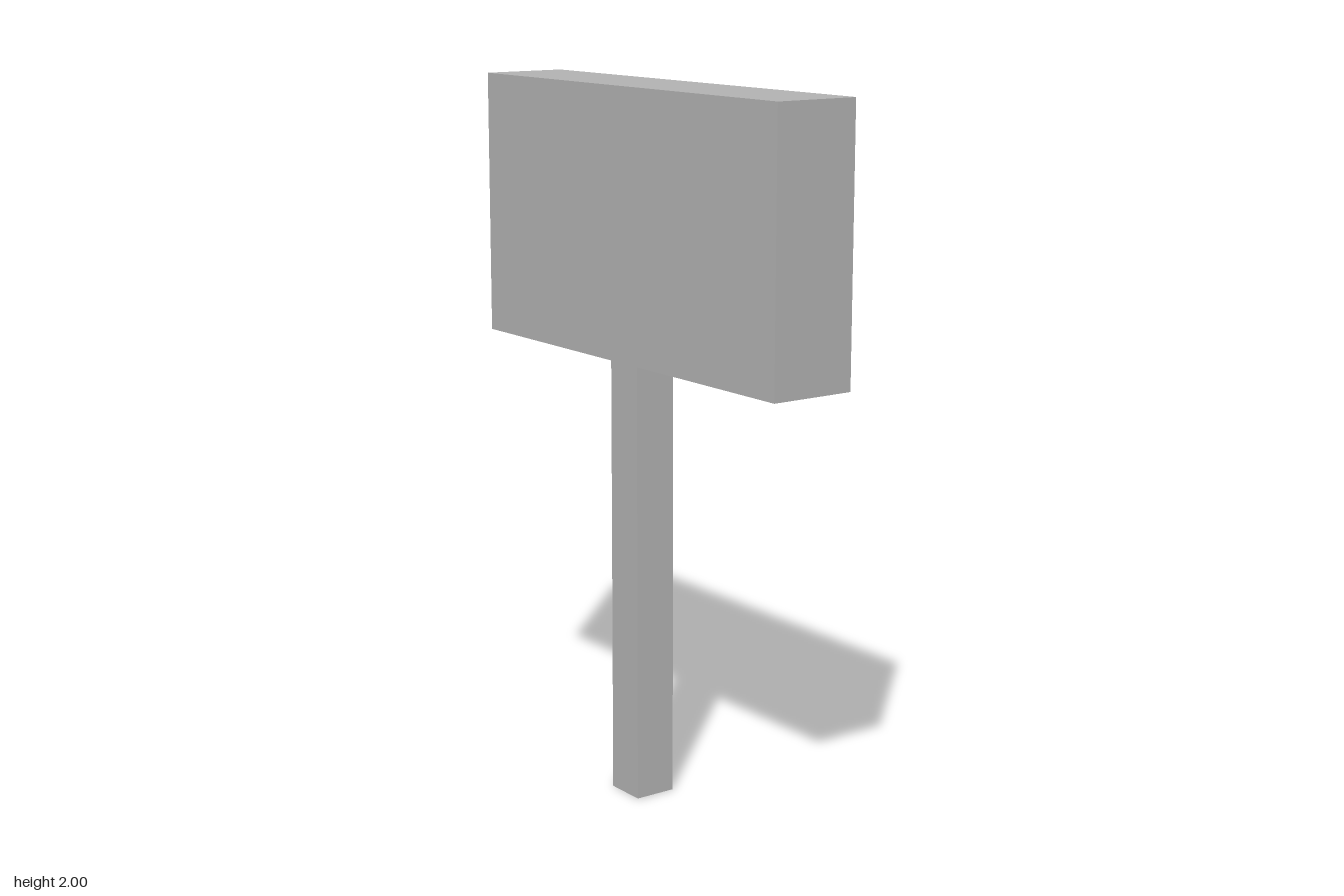
import * as THREE from 'three';

export function createModel() {
  const group = new THREE.Group();
  group.name = 'signpost';

  const grey = new THREE.MeshStandardMaterial({ color: 0xb2b2b2 });
  grey.name = 'plain grey';

  // Box placed by its centre in x and z and by its base height
  function addBox(name, width, height, depth, x, base) {
    const mesh = new THREE.Mesh(new THREE.BoxGeometry(width, height, depth), grey);
    mesh.name = name;
    mesh.position.set(x, base + height / 2, 0);
    group.add(mesh);
  }

  // Post stands slightly off centre and meets the underside of the board
  addBox('post', 0.122, 1.263, 0.122, -0.076, 0);
  addBox('signBoard', 1.31, 0.737, 0.246, 0, 1.263);

  return group;
}
